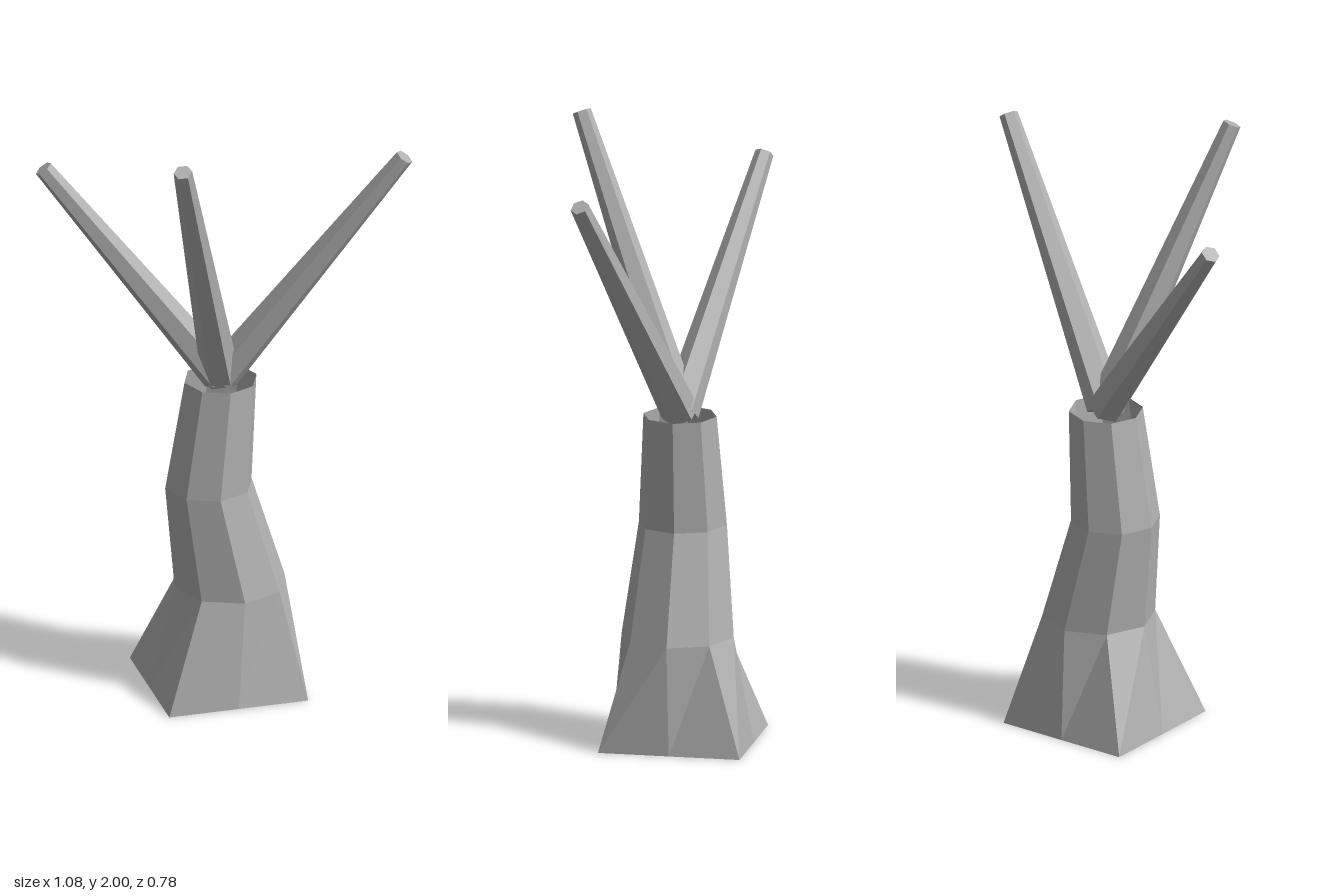
import * as THREE from 'three';

const bark = new THREE.MeshStandardMaterial({ color: 0xb0b0b0, flatShading: true, side: THREE.DoubleSide });
bark.name = 'grey bark';

// Trunk sections from the ground up: centre x, y, z, corner radius, in-between radius
const SECTIONS = [
  [-0.032, 0, -0.065, 0.325, 0.23],
  [-0.002, 0.35, -0.08, 0.182, 0.182],
  [-0.053, 0.7, -0.033, 0.143, 0.143],
  [-0.024, 1.065, -0.06, 0.119, 0.119],
];
const SIDES = 8;

// Crooked, hollow eight-sided trunk flaring to a square foot, open at both ends
function buildTrunk() {
  const positions = [];
  const index = [];
  SECTIONS.forEach(([cx, y, cz, corner, between], row) => {
    for (let i = 0; i < SIDES; i++) {
      const a = (i / SIDES) * Math.PI * 2;
      const r = i % 2 ? between : corner;
      positions.push(cx + r * Math.cos(a), y, cz - r * Math.sin(a));
      if (row === 0) continue;
      const j = (i + 1) % SIDES;
      const low = (row - 1) * SIDES;
      const high = row * SIDES;
      index.push(low + i, low + j, high + j, low + i, high + j, high + i);
    }
  });
  const geometry = new THREE.BufferGeometry();
  geometry.setAttribute('position', new THREE.Float32BufferAttribute(positions, 3));
  geometry.setIndex(index);
  geometry.computeVertexNormals();
  const trunk = new THREE.Mesh(geometry, bark);
  trunk.name = 'trunk';
  return trunk;
}

// Tapered six-sided branch from the trunk top to a tip
function buildBranch(name, tip) {
  const start = new THREE.Vector3(-0.024, 1.075, -0.06);
  const along = new THREE.Vector3(...tip).sub(start);
  const branch = new THREE.Mesh(new THREE.CylinderGeometry(0.03, 0.062, along.length(), 6), bark);
  branch.name = name;
  branch.position.copy(start).addScaledVector(along, 0.5);
  branch.quaternion.setFromUnitVectors(new THREE.Vector3(0, 1, 0), along.normalize());
  return branch;
}

export function createModel() {
  const tree = new THREE.Group();
  tree.name = 'bareTree';
  tree.add(
    buildTrunk(),
    buildBranch('leftBranch', [0.516, 1.873, -0.295]),
    buildBranch('rightBranch', [-0.522, 1.8, 0.205]),
    buildBranch('frontBranch', [0.073, 1.988, 0.36]),
  );
  return tree;
}
